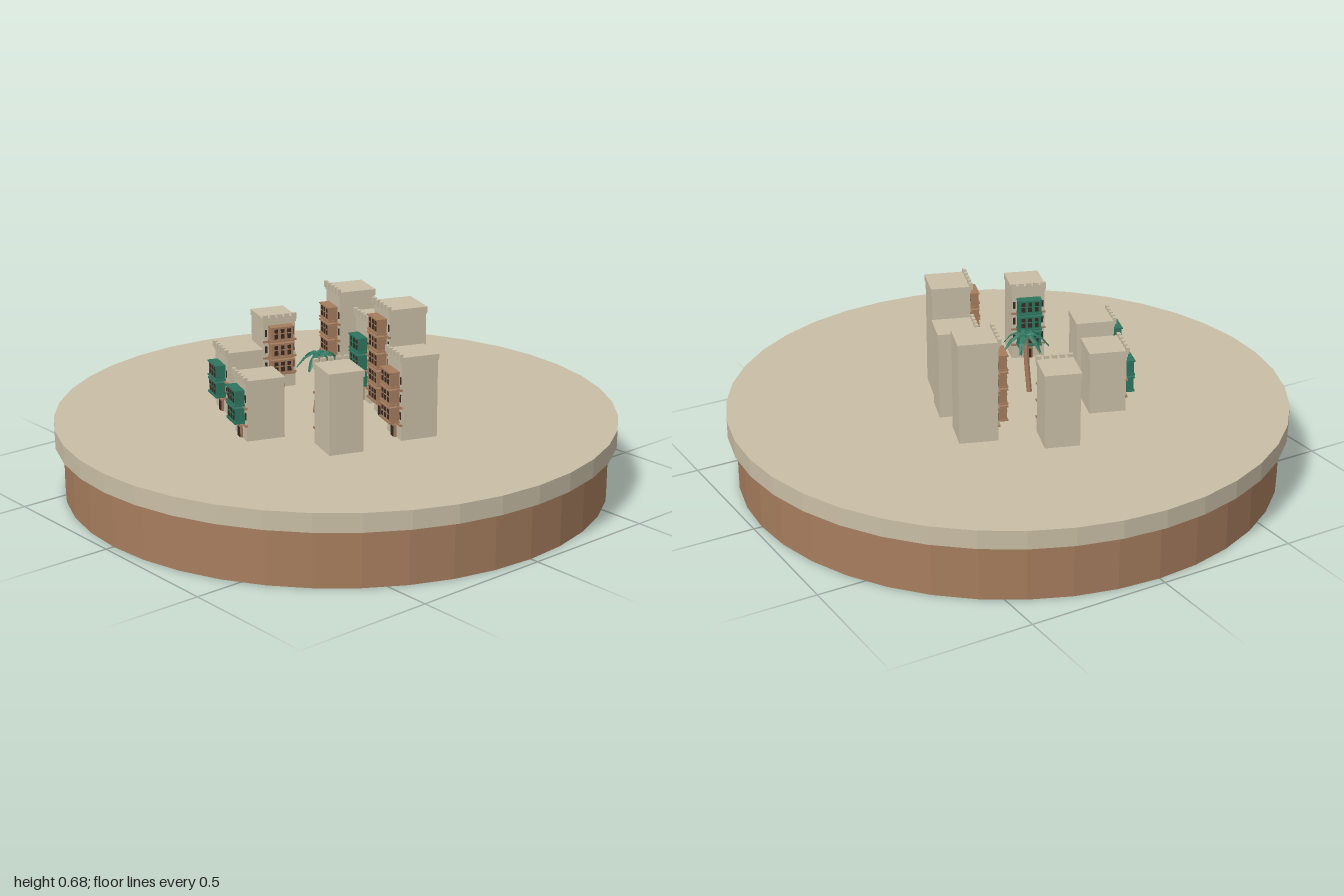
import * as THREE from 'three';

const mat = (name, color, extra = {}) => {
  const m = new THREE.MeshStandardMaterial({ color, ...extra });
  m.name = name;
  return m;
};

export function createModel() {
  const sand = mat('sand', 0xc9bea6, { flatShading: true });
  const clay = mat('clay', 0xa67d5e, { flatShading: true });
  const green = mat('green', 0x2f7560, { flatShading: true });
  const dark = mat('dark', 0x382a22, { flatShading: true });
  const frondMat = mat('palm green', 0x2f7560, { flatShading: true, side: THREE.DoubleSide });

  const root = new THREE.Group();
  root.name = 'courtyardTown';

  const add = (parent, name, geo, material, x, y, z) => {
    const m = new THREE.Mesh(geo, material);
    m.name = name;
    m.position.set(x, y, z);
    parent.add(m);
    return m;
  };
  const box = (parent, name, material, w, h, d, x, y, z) =>
    add(parent, name, new THREE.BoxGeometry(w, h, d), material, x, y, z);

  // Round plinth and the ground slab on it
  add(root, 'plinth', new THREE.CylinderGeometry(0.97, 0.97, 0.2, 40), clay, 0, 0.1, 0);
  add(root, 'ground', new THREE.CylinderGeometry(1, 1, 0.066, 40), sand, 0, 0.233, 0);

  const GROUND = 0.266, FIRST = 0.325, STOREY = 0.0625;

  // Tower house facing local +z, with a stack of latticed balconies
  function house({ x, z, turn, w, d, top, floors, paint }) {
    const g = new THREE.Group();
    g.name = 'house';
    g.position.set(x, GROUND, z);
    g.rotation.y = turn;
    const h = top - GROUND, front = d / 2;
    box(g, 'walls', sand, w - 0.006, h - 0.02, d - 0.006, 0, (h - 0.02) / 2, 0);
    box(g, 'cornice', sand, w, 0.022, d, 0, h - 0.011, 0);

    // Battlements along the front
    for (let i = 0; i < 5; i++) {
      const mx = (i / 4 - 0.5) * (w - 0.018);
      box(g, 'merlon', sand, 0.018, 0.024, 0.012, mx, h, front);
    }

    // Doorway
    box(g, 'door', clay, 0.036, 0.044, 0.008, 0, 0.022, front);
    box(g, 'doorOpening', dark, 0.022, 0.036, 0.004, 0, 0.018, front + 0.004);

    for (let f = 0; f < floors; f++) {
      const y = FIRST - GROUND + f * STOREY;
      // Storey beam and small windows beside the balcony
      box(g, 'storeyBeam', clay, w, 0.007, 0.008, 0, y - 0.004, front - 0.001);
      for (const s of [-1, 1])
        box(g, 'sideWindow', dark, 0.008, 0.026, 0.004, s * w * 0.41, y + 0.028, front - 0.003);

      // Balcony case, its sill and hood
      const b = new THREE.Group();
      b.name = 'balcony';
      b.position.set(0, y, front);
      g.add(b);
      box(b, 'case', paint, 0.084, 0.054, 0.034, 0, 0.028, 0.014);
      box(b, 'sill', paint, 0.09, 0.006, 0.038, 0, 0.003, 0.016);
      box(b, 'hood', paint, 0.09, 0.005, 0.038, 0, 0.054, 0.016);
      for (let i = -1; i <= 1; i++) {
        box(b, 'window', dark, 0.014, 0.036, 0.003, i * 0.025, 0.03, 0.031);
        box(b, 'lattice', paint, 0.014, 0.004, 0.003, i * 0.025, 0.032, 0.0325);
      }
    }
    root.add(g);
  }

  const T = -0.34, Q = Math.PI / 2;
  const houses = [
    { x: -0.215, z: -0.255, turn: T, w: 0.142, d: 0.142, top: 0.63, floors: 4, paint: clay },
    { x: -0.005, z: -0.215, turn: T, w: 0.135, d: 0.142, top: 0.58, floors: 3, paint: green },
    { x: 0.18, z: -0.14, turn: T, w: 0.148, d: 0.142, top: 0.67, floors: 5, paint: clay },
    { x: 0.365, z: -0.03, turn: T, w: 0.13, d: 0.138, top: 0.562, floors: 3, paint: clay },
    { x: 0.31, z: 0.255, turn: T - Q, w: 0.128, d: 0.145, top: 0.552, floors: 3, paint: green },
    { x: 0.028, z: 0.37, turn: T, w: 0.132, d: 0.142, top: 0.482, floors: 2, paint: green },
    { x: -0.238, z: 0.25, turn: T, w: 0.142, d: 0.136, top: 0.495, floors: 2, paint: green },
    { x: -0.39, z: -0.03, turn: T + Q, w: 0.128, d: 0.142, top: 0.535, floors: 3, paint: clay },
  ];
  houses.forEach(house);

  // Palm tree: gently leaning trunk and seven drooping fronds
  const palm = new THREE.Group();
  palm.name = 'palm';
  palm.position.set(-0.005, GROUND, 0.07);
  root.add(palm);
  const path = new THREE.CatmullRomCurve3([
    new THREE.Vector3(-0.012, 0, 0.01),
    new THREE.Vector3(-0.004, 0.11, 0.004),
    new THREE.Vector3(0, 0.215, 0),
  ]);
  add(palm, 'trunk', new THREE.TubeGeometry(path, 6, 0.01, 7), clay, 0, 0, 0);

  // Frond: ridge-backed blade following an arc outwards
  const sections = [[0, 0.006, 0], [0.03, 0.012, 0.008], [0.058, 0.011, -0.008], [0.084, 0.004, -0.04]];
  const pos = [], idx = [];
  sections.forEach(([r, half, y], i) => {
    pos.push(r, y - 0.005, -half, r, y, 0, r, y - 0.005, half);
    if (i === 0) return;
    for (let k = 0; k < 2; k++) {
      const a = (i - 1) * 3 + k, b = a + 3;
      idx.push(a, a + 1, b, b, a + 1, b + 1);
    }
  });
  const frondGeo = new THREE.BufferGeometry();
  frondGeo.setAttribute('position', new THREE.Float32BufferAttribute(pos, 3));
  frondGeo.setIndex(idx);
  frondGeo.computeVertexNormals();
  for (let i = 0; i < 7; i++) {
    const frond = add(palm, 'frond', frondGeo, frondMat, 0, 0.218, 0);
    frond.rotation.y = 1.5 + (i * Math.PI * 2) / 7;
  }

  return root;
}
